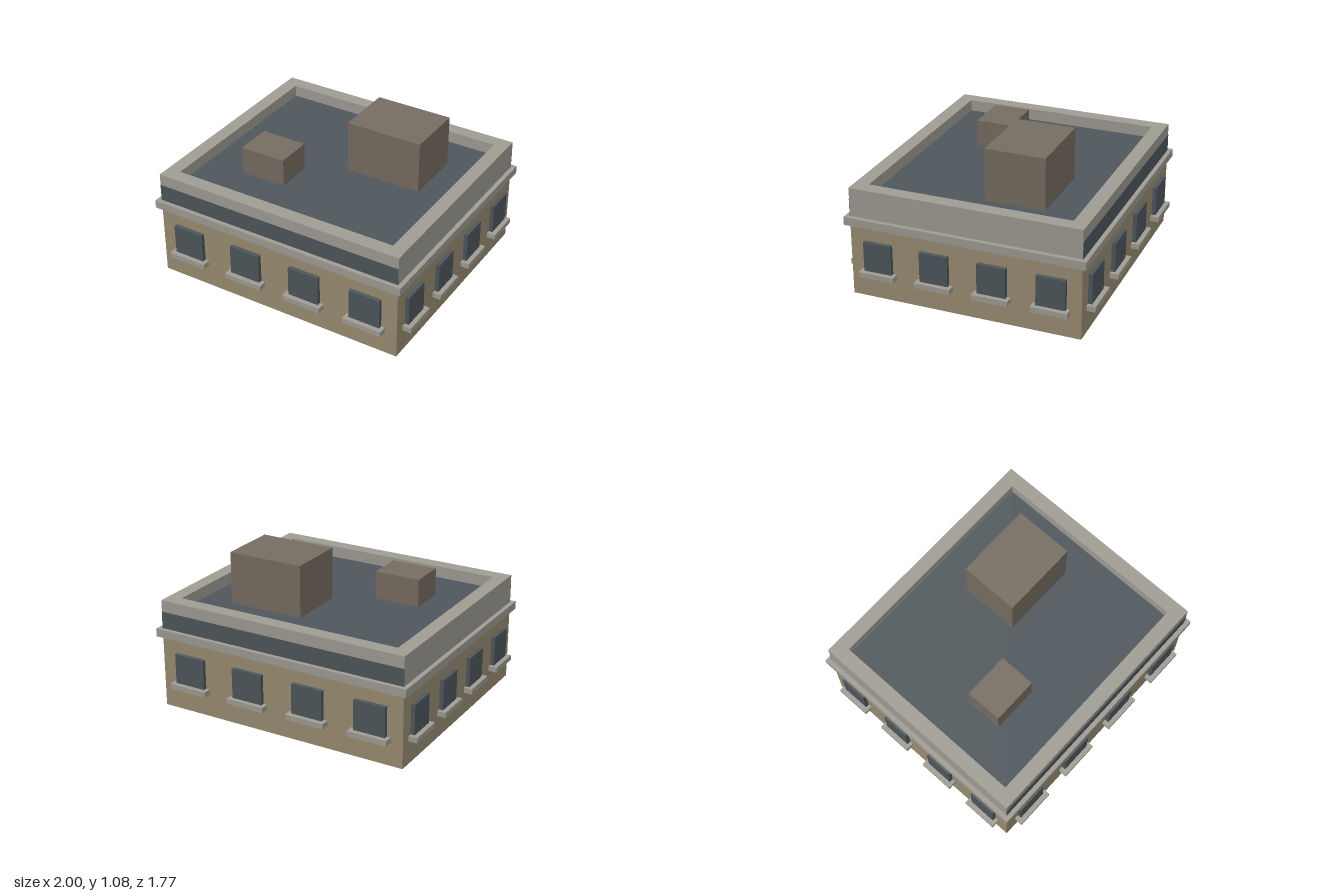
import * as THREE from 'three';

const HX = 0.938, HZ = 0.825; // wall half sizes

function mat(name, color) {
  const m = new THREE.MeshStandardMaterial({ color });
  m.name = name;
  return m;
}

export function createModel() {
  const wall = mat('tan wall', 0x9a8d72);
  const trim = mat('grey stone', 0x9f9c93);
  const dark = mat('dark slate', 0x4e575c);
  const unit = mat('brown metal', 0x776d62);

  const model = new THREE.Group();
  model.name = 'building';

  // Box given by its minimum and maximum corners
  function box(name, material, min, max, parent = model) {
    const size = max.map((v, i) => v - min[i]);
    const mesh = new THREE.Mesh(new THREE.BoxGeometry(...size), material);
    mesh.position.set(...max.map((v, i) => (v + min[i]) / 2));
    mesh.name = name;
    parent.add(mesh);
    return mesh;
  }

  // Main block and projecting cornice
  box('walls', wall, [-HX, 0, -HZ], [HX, 0.53, HZ]);
  box('cornice', trim, [-0.97, 0.526, -0.858], [0.97, 0.584, 0.858]);

  // Parapet: a rectangular ring around the roof
  const ring = (w, d, target) => target
    .moveTo(-w, -d).lineTo(w, -d).lineTo(w, d).lineTo(-w, d).closePath();
  const outline = ring(HX, HZ, new THREE.Shape());
  outline.holes.push(ring(0.838, 0.724, new THREE.Path()));
  const parapetGeometry = new THREE.ExtrudeGeometry(outline, { depth: 0.206, bevelEnabled: false });
  parapetGeometry.rotateX(-Math.PI / 2);
  const parapet = new THREE.Mesh(parapetGeometry, trim);
  parapet.position.y = 0.584;
  parapet.name = 'parapet';
  model.add(parapet);

  // Roof deck, and its edge showing as a band at front and back
  box('roofDeck', dark, [-0.838, 0.584, -0.724], [0.838, 0.706, 0.724]);
  for (const s of [-1, 1]) {
    const band = box('roofBand', dark, [-HX, 0.584, -0.0015], [HX, 0.706, 0.0015]);
    band.position.z = s * (HZ + 0.0005);
  }

  // Rooftop units
  box('largeRoofUnit', unit, [0.055, 0.706, -0.447], [0.615, 1.08, -0.018]);
  box('smallRoofUnit', unit, [-0.545, 0.706, 0.13], [-0.208, 0.907, 0.395]);

  // Four windows with sills on each side
  function facade(name, angle, distance, spacing, windowWidth, sillWidth) {
    const side = new THREE.Group();
    side.name = name;
    side.rotation.y = angle;
    for (let i = 0; i < 4; i++) {
      const x = (i - 1.5) * spacing;
      box('window', dark, [x - windowWidth / 2, 0.2, distance - 0.01],
        [x + windowWidth / 2, 0.421, distance + 0.029], side);
      box('sill', trim, [x - sillWidth / 2, 0.167, distance - 0.01],
        [x + sillWidth / 2, 0.205, distance + 0.062], side);
    }
    model.add(side);
  }
  facade('frontWindows', 0, HZ, 0.47, 0.232, 0.29);
  facade('backWindows', Math.PI, HZ, 0.47, 0.232, 0.29);
  facade('leftWindows', Math.PI / 2, HX, 0.413, 0.204, 0.257);
  facade('rightWindows', -Math.PI / 2, HX, 0.413, 0.204, 0.257);

  return model;
}
